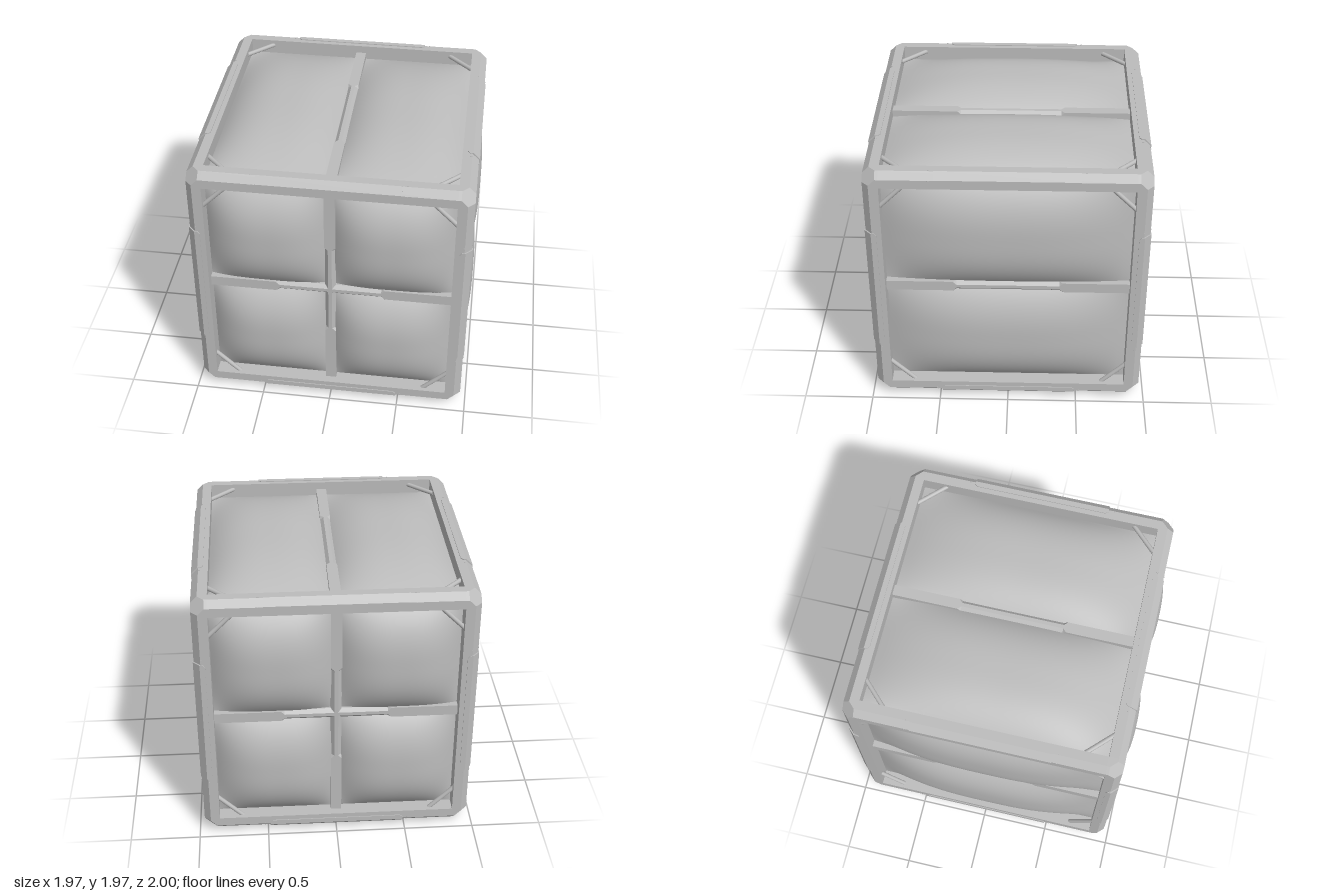
import * as THREE from 'three';
import { ConvexGeometry } from 'three/addons/geometries/ConvexGeometry.js';

const S = 0.962;   // outer half size of the frame
const I = 0.85;    // half size of each opening
const C = 0.046;   // chamfer on the outer edges
const Q = Math.PI / 2;

export function createModel() {
  const root = new THREE.Group();
  const body = new THREE.Group();
  body.name = 'crate';
  body.position.y = 0.995;
  root.add(body);

  const grey = new THREE.MeshStandardMaterial({ color: 0xbcbcbc });
  grey.name = 'grey';

  const add = (parent, name, geometry) => {
    const mesh = new THREE.Mesh(geometry, grey);
    mesh.name = name;
    parent.add(mesh);
    return mesh;
  };
  const hull = (pts) => new ConvexGeometry(pts.map((p) => new THREE.Vector3(...p)));

  // Cross-section of an edge member: a square with its outer corner cut
  const section = (a, s) => [[a, a], [s, a], [s, s - C], [s - C, s], [a, s]];

  // Straight frame rail along x
  const railGeo = hull([-I, I].flatMap((x) => section(I, S).map(([y, z]) => [x, y, z])));

  // Raised guard plate wrapped over the middle of a rail, ends slightly tapered
  const P = S + 0.006;
  const guardGeo = hull([-1, 1].flatMap((d) => section(0.885, P).flatMap(([y, z]) => {
    const onFaceEdge = Math.min(y, z) < 0.89;
    return onFaceEdge
      ? [[d * 0.465, y, z], [d * 0.485, y === P ? y : Math.max(y, 0.9), z === P ? z : Math.max(z, 0.9)]]
      : [[d * 0.485, y, z]];
  })));

  const rivetGeo = new THREE.CylinderGeometry(0.006, 0.006, 0.006, 8);

  // Twelve rails: four around each axis
  const axes = [[0, 0, 0], [0, 0, Q], [0, Q, 0]];
  for (const r of axes) {
    const axis = new THREE.Group();
    axis.name = 'frameRails';
    axis.rotation.set(...r);
    body.add(axis);
    for (let k = 0; k < 4; k++) {
      const edge = new THREE.Group();
      edge.name = 'frameEdge';
      edge.rotation.x = k * Q;
      axis.add(edge);
      add(edge, 'rail', railGeo);
      add(edge, 'guardPlate', guardGeo);
      for (const d of [-1, 1]) {
        add(edge, 'rivet', rivetGeo).position.set(d * 0.52, S, 0.91);
        const side = add(edge, 'rivet', rivetGeo);
        side.position.set(d * 0.52, 0.91, S);
        side.rotation.x = Q;
      }
    }
  }

  // Eight corner blocks with a hexagonal cut
  const E = S - C - 0.045;
  const cornerPts = [
    [S, S - C, E], [S, E, S - C], [S - C, S, E], [E, S, S - C], [S - C, E, S], [E, S - C, S],
  ];
  for (const [a, b] of section(I, S)) cornerPts.push([I, a, b], [a, I, b], [a, b, I]);
  const cornerGeo = hull(cornerPts);
  for (let k = 0; k < 4; k++) {
    for (const flip of [0, Math.PI]) {
      add(body, 'cornerBlock', cornerGeo).rotation.set(flip, k * Q, 0);
    }
  }

  // Face bar along x: square ends and a chamfered middle
  const W = 0.038, T = 0.905, B = 0.8, K = 0.025;
  const barMidGeo = hull([-0.365, 0.365].flatMap((x) => [
    [x, -W, B], [x, W, B], [x, -W, T - K], [x, W, T - K], [x, K - W, T], [x, W - K, T],
  ]));
  const barEndGeo = hull([-1, 1].flatMap((d) => [
    [0.36, d * W, B], [0.36, d * W, T - K], [0.36, d * (W - K), T], [0.385, d * W, T],
    [I + 0.01, d * W, B], [I + 0.01, d * W, T],
  ]));
  const addBar = (parent, angle) => {
    const bar = new THREE.Group();
    bar.name = 'faceBar';
    bar.rotation.z = angle;
    parent.add(bar);
    add(bar, 'barMiddle', barMidGeo);
    add(bar, 'barEnd', barEndGeo);
    add(bar, 'barEnd', barEndGeo).rotation.z = Math.PI;
  };

  // Bulging panel cell, highest in its middle
  const cushion = (w, h, top) => {
    const base = 0.855;
    const geo = new THREE.PlaneGeometry(w, h, 32, 32);
    const p = geo.attributes.position;
    const f = (t) => Math.max(0, 1 - Math.abs(t) ** 2.8);
    for (let i = 0; i < p.count; i++) {
      p.setZ(i, base + (top - base) * f((2 * p.getX(i)) / w) * f((2 * p.getY(i)) / h));
    }
    geo.computeVertexNormals();
    return geo;
  };

  const rodGeo = new THREE.CylinderGeometry(0.016, 0.016, 0.25, 10);

  // Faces: rotation, split across, split upward, bulge height
  const faces = [
    ['front', [0, 0, 0], true, true, 1.0],
    ['back', [0, Math.PI, 0], true, true, 1.0],
    ['left', [0, Q, 0], false, true, 0.986],
    ['right', [0, -Q, 0], false, true, 0.986],
    ['top', [-Q, 0, 0], true, false, 0.986],
    ['bottom', [Q, 0, 0], true, false, 0.986],
  ];
  for (const [name, rot, splitU, splitV, top] of faces) {
    const face = new THREE.Group();
    face.name = name + 'Face';
    face.rotation.set(...rot);
    body.add(face);
    const geo = cushion(splitU ? I : 2 * I, splitV ? I : 2 * I, top);
    for (const u of splitU ? [-I / 2, I / 2] : [0]) {
      for (const v of splitV ? [-I / 2, I / 2] : [0]) {
        add(face, 'bulgingPanel', geo).position.set(u, v, 0);
      }
    }
    if (splitV) addBar(face, 0);
    if (splitU) addBar(face, Q);

    // Diagonal rods across the opening's corners
    for (const u of [-1, 1]) {
      for (const v of [-1, 1]) {
        const rod = add(face, 'cornerRod', rodGeo);
        rod.position.set(u * 0.77, v * 0.77, 0.92);
        rod.rotation.z = u * v * Math.PI / 4;
      }
    }
  }
  return root;
}
